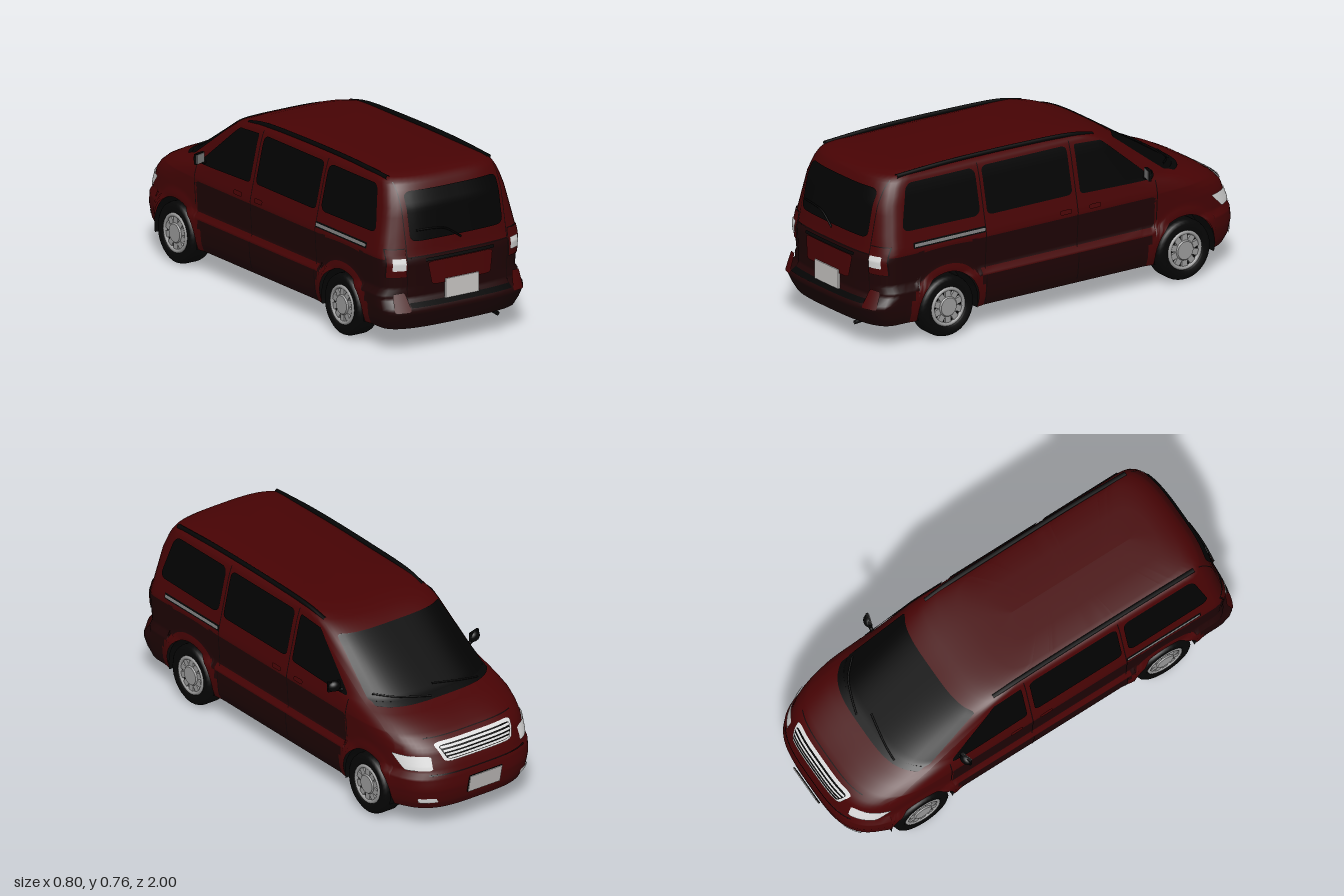
import * as THREE from 'three';

const mat = (name, color, side = THREE.DoubleSide) =>
  Object.assign(new THREE.MeshStandardMaterial({ color, side }), { name });
const M = {
  paint: mat('dark red paint', 0x480304),
  lower: mat('lower body maroon', 0x1f0304),
  glass: mat('dark glass', 0x020202),
  trim: mat('black trim', 0x040404),
  tyre: mat('tyre rubber', 0x050505),
  silver: mat('silver', 0x9c9c9c),
  grey: mat('mid grey', 0x7c7c7c),
  lamp: mat('lamp white', 0xdedede),
  plate: mat('plate grey', 0xcac7c5),
  seam: mat('seam', 0x120203),
};

// Piecewise linear lookup
const table = (pts) => (y) => {
  if (y <= pts[0][0]) return pts[0][1];
  for (let i = 1; i < pts.length; i++) if (y <= pts[i][0]) {
    const [a, p] = pts[i - 1], [b, q] = pts[i];
    return p + (q - p) * (y - a) / (b - a);
  }
  return pts[pts.length - 1][1];
};

// Body rules by height: nose position, tail position, half width and front corner length
const nose = table([[.1, -.945], [.14, -.965], [.2, -.975], [.25, -.968], [.3, -.953], [.36, -.928], [.39, -.9],
  [.42, -.855], [.445, -.803], [.465, -.75], [.48, -.7], [.5, -.655], [.69, -.35], [.72, -.27], [.735, -.21], [.745, -.12], [.75, -.03], [.753, .05]]);
const tail = table([[.1, .957], [.14, .978], [.185, .998], [.2, .99], [.225, .95], [.39, .959], [.42, .95],
  [.62, .92], [.69, .893], [.72, .872], [.735, .85], [.745, .81], [.75, .75], [.753, .65]]);
const width = table([[.1, .336], [.14, .35], [.2, .358], [.25, .36], [.27, .344], [.42, .354], [.445, .349],
  [.5, .337], [.66, .301], [.69, .292], [.71, .285], [.72, .28], [.735, .267], [.745, .23], [.75, .13], [.753, 0]]);
const frontLength = table([[.5, .4], [.69, .16], [.753, .14]]);
const front = (y) => ({ len: frontLength(y), p: 3.5 });
const REAR = { len: .12, p: 3 };
const AXLES = [-.63, .595], HUB_Y = .135, ARCH = .156;

const corner = (d, { len, p }) => d >= len ? 1 : Math.pow(1 - Math.pow(1 - Math.max(d, 0) / len, p), 1 / p);
const depth = (x, w, { len, p }) => len * (1 - Math.pow(1 - Math.pow(Math.min(Math.abs(x) / w, 1), p), 1 / p));
const axleGap = (y, z) => Math.min(...AXLES.map((a) => Math.hypot(z - a, y - HUB_Y)));
const sideX = (y, z) => {
  const flare = Math.max(0, .01 * (1 - (axleGap(y, z) - ARCH) / .045));
  const taper = corner(z - nose(y), front(y)) * corner(tail(y) - z, REAR);
  return (width(y) + (y < .36 ? Math.min(flare, .007) : 0)) * taper;
};
const sill = (z) => {
  for (const a of AXLES) if (Math.abs(z - a) < ARCH) return HUB_Y + Math.sqrt(ARCH ** 2 - (z - a) ** 2);
  return .1;
};
// Darker lower doors, sills and tail; arch lips and the ledge along the doors stay red
const isLower = (y, z) => z > -.475 && y < .407 && axleGap(y, z) > .192 && !(y > .24 && y < .27 && z < .42);

// Places a point on the body skin, from side, front or rear coordinates
const onSide = (s, e = .005) => (z, y) => [s * (sideX(y, z) + e), y, z];
const onNose = (e = .006) => (x, y) => [x, y, nose(y) + depth(x, width(y), front(y)) - e];
const onTail = (e = .005) => (x, y) => [x, y, tail(y) - depth(x, width(y), REAR) + e];

function surface(points, index) {
  const g = new THREE.BufferGeometry();
  g.setAttribute('position', new THREE.Float32BufferAttribute(points.flat(), 3));
  g.setIndex(index);
  g.computeVertexNormals();
  return g;
}

export function createModel() {
  const root = new THREE.Group();
  root.name = 'van';
  const add = (name, geo, material, parent = root, pos = [0, 0, 0]) => {
    const m = new THREE.Mesh(geo, material);
    m.name = name;
    m.position.set(...pos);
    parent.add(m);
    return m;
  };
  // Thin curved panel with rounded corners; corners run bottom, bottom, top, top
  const patch = (name, [a, b, c, d], map, material, r = .1, n = 18) => {
    const pts = [], idx = [];
    for (let j = 0; j <= n; j++) {
      const v = (1 - Math.cos(Math.PI * j / n)) / 2, dv = Math.min(v, 1 - v);
      const inset = dv < r ? (r - Math.sqrt(r * r - (r - dv) ** 2)) * .6 : 0;
      for (let i = 0; i <= n; i++) {
        const u = inset + (1 - 2 * inset) * i / n;
        const mix = (k) => (a[k] * (1 - u) + b[k] * u) * (1 - v) + (d[k] * (1 - u) + c[k] * u) * v;
        pts.push(map(mix(0), mix(1)));
        const o = j * (n + 1) + i;
        if (i < n && j < n) idx.push(o, o + 1, o + n + 1, o + 1, o + n + 2, o + n + 1);
      }
    }
    return add(name, surface(pts, idx), material);
  };
  const rect = (x0, x1, y0, y1) => [[x0, y0], [x1, y0], [x1, y1], [x0, y1]];
  const tube = (name, pts, radius, material) => add(name, new THREE.TubeGeometry(
    new THREE.CatmullRomCurve3(pts.map((p) => new THREE.Vector3(...p))), 24, radius, 8), material);

  // Body shell: plan outlines stacked by height, lower edge lifted over the wheels
  const mid = [];
  for (const a of AXLES) {
    for (const d of [-.215, -.192, -.174, -.1565, .1565, .174, .192, .215]) mid.push(a + d);
    for (let i = 0; i <= 24; i++) mid.push(a - ARCH * .9999 * Math.cos(Math.PI * i / 24));
  }
  for (let z = -.4; z < .36; z += .1) mid.push(z);
  const middle = mid.filter((z) => z > -.8 && z < .815).sort((p, q) => p - q);
  const outline = (y) => {
    const k0 = Math.max(-.8, nose(y) + .12), k1 = Math.min(.82, tail(y) - .12), zs = [];
    for (let i = 0; i < 16; i++) zs.push(nose(y) + (k0 - nose(y)) * (i / 16) ** 3);
    for (const z of middle) zs.push(z < .3 ? .3 + (z - .3) * (.3 - k0) / 1.1 : .3 + (z - .3) * (k1 - .3) / .52);
    for (let i = 12; i >= 0; i--) zs.push(tail(y) - (tail(y) - k1) * (i / 12) ** 3);
    return zs;
  };
  const levels = [.1, .12, .14, .17, .185, .2, .225, .24, .25, .27, .285, .3, .315, .33, .345, .36, .375, .39, .407, .42,
    .445, .465, .48, .5, .54, .58, .62, .66, .69, .71, .72, .735, .745, .75, .753];
  const pts = [], upper = [], lower = [];
  let count = 0;
  levels.forEach((y) => {
    const half = outline(y).map((z) => {
      const b = sill(z), h = y < .42 ? b + (y - .1) * (.42 - b) / .32 : y;
      return [sideX(h, z), h, z];
    });
    const ring = half.concat(half.slice(1, -1).reverse().map(([x, h, z]) => [-x, h, z]));
    count = ring.length;
    pts.push(...ring);
  });
  for (let i = 0; i < levels.length - 1; i++) for (let j = 0; j < count; j++) {
    const a = i * count + j, b = i * count + (j + 1) % count;
    const mean = (k) => (pts[a][k] + pts[b][k] + pts[a + count][k] + pts[b + count][k]) / 4;
    (isLower(mean(1), mean(2)) ? lower : upper).push(a, a + count, b, b, a + count, b + count);
  }
  const shell = surface(pts, upper.concat(lower));
  shell.addGroup(0, upper.length, 0);
  shell.addGroup(upper.length, lower.length, 1);
  add('bodyShell', shell, [M.paint, M.lower]);

  // Underside
  const floorPts = [], floorIdx = [];
  outline(.1).forEach((z, i) => {
    const x = sill(z) > .1 ? .235 : sideX(.1, z);
    floorPts.push([-x, .1, z], [x, .1, z]);
    if (i) floorIdx.push(2 * i - 2, 2 * i - 1, 2 * i, 2 * i - 1, 2 * i + 1, 2 * i);
  });
  add('underside', surface(floorPts, floorIdx), M.trim);
  tube('exhaustPipe', [[.19, .098, .8], [.19, .1, .9], [.19, .094, .965]], .009, M.trim);

  // Wheels and wheel wells
  const tyreProfile = [[.085, .045], [.095, .053], [.118, .055], [.13, .046], [.135, .03], [.135, -.03], [.13, -.046],
    [.118, -.055], [.085, -.05]].map(([r, h]) => new THREE.Vector2(r, -h));
  for (const s of [1, -1]) for (const z of AXLES) {
    const well = new THREE.CylinderGeometry(ARCH, ARCH, .115, 28, 1, true, -.23, Math.PI + .46).rotateZ(Math.PI / 2);
    add('wheelWell', well, M.trim, root, [s * .2925, HUB_Y, z]);
    add('wheelWellWall', new THREE.CircleGeometry(ARCH, 28, -.23, Math.PI + .46).rotateY(Math.PI / 2), M.trim, root, [s * .235, HUB_Y, z]);
    const wheel = new THREE.Group();
    wheel.name = 'wheel';
    wheel.position.set(s * .303, HUB_Y, z);
    wheel.rotation.y = s > 0 ? 0 : Math.PI;
    root.add(wheel);
    add('tyre', new THREE.LatheGeometry(tyreProfile, 36).rotateZ(Math.PI / 2), M.tyre, wheel);
    add('rimBack', new THREE.CylinderGeometry(.086, .086, .07, 30).rotateZ(Math.PI / 2), M.trim, wheel);
    add('rimRing', new THREE.TorusGeometry(.079, .009, 8, 36).rotateY(Math.PI / 2), M.silver, wheel, [.045, 0, 0]);
    add('hubCap', new THREE.CylinderGeometry(.04, .054, .018, 24).rotateZ(-Math.PI / 2), M.silver, wheel, [.045, 0, 0]);
    for (let i = 0; i < 10; i++) {
      const spoke = new THREE.BoxGeometry(.012, .045, .028).translate(.042, .058, 0).rotateX(i * Math.PI / 5);
      add('spoke', spoke, M.silver, wheel);
    }
  }

  // Side glass, seams, mouldings, lamps, mirrors and roof rails
  for (const s of [1, -1]) {
    const side = onSide(s);
    patch('rearSideWindow', [[.42, .505], [.825, .51], [.775, .705], [.42, .705]], side, M.glass, .15);
    patch('middleSideWindow', rect(-.055, .385, .5, .705), side, M.glass, .1);
    patch('frontSideWindow', [[-.48, .485], [-.095, .495], [-.095, .703], [-.235, .695]], side, M.glass, .08);
    for (const [z, y0, y1] of [[.4, .12, .72], [-.075, .12, .72], [-.485, .3, .475]])
      patch('doorSeam', rect(z - .0025, z + .0025, y0, y1), onSide(s, .002), M.seam, .01, 24);
    patch('slidingRail', rect(.4, .775, .43, .456), onSide(s, .003), M.trim, .05);
    patch('sideMoulding', rect(.405, .77, .437, .45), onSide(s, .006), M.grey, .05);
    for (const z of [-.01, -.16]) patch('doorHandle', rect(z - .03, z + .03, .425, .445), onSide(s, .009), M.paint, .3);

    patch('headlight', [[-.932, .285], [-.845, .283], [-.775, .348], [-.91, .345]], onSide(s, .008), M.lamp, .15, 24);
    patch('fogLight', rect(-.945, -.9, .135, .158), onSide(s, .007), M.lamp, .2);
    patch('tailLampSurround', rect(s * .26, s * .34, .327, .453), onTail(.003), M.seam, .05);
    patch('tailLamp', rect(s * .262, s * .338, .33, .45), onTail(.007), M.paint, .05);
    patch('reverseLamp', rect(s * .268, s * .322, .36, .413), onTail(.012), M.lamp, .1);
    patch('bumperCorner', [[s * .26, .185], [s * .33, .18], [s * .325, .26], [s * .275, .265]],
      (x, y) => [x, y, 1 - depth(x, .36, REAR) - (y - .18) * .4], M.paint, .2);
    patch('tailgateSeam', rect(s * .254, s * .258, .2, .72), onTail(.002), M.seam, .01, 24);

    tube('roofRail', [[s * .259, .715, -.215], [s * .262, .735, -.11], [s * .262, .745, .15], [s * .262, .745, .55],
      [s * .26, .733, .8]], .01, M.trim);

    const mirror = new THREE.Group();
    mirror.name = 'doorMirror';
    mirror.position.set(s * .372, .523, -.425);
    mirror.rotation.y = -s * .3;
    root.add(mirror);
    const housing = new THREE.SphereGeometry(1, 16, 10, 0, Math.PI * 2, 0, Math.PI / 2)
      .rotateX(-Math.PI / 2).scale(.029, .025, .022);
    add('mirrorHousing', housing, M.trim, mirror);
    add('mirrorRim', new THREE.BoxGeometry(.056, .046, .012), M.trim, mirror);
    add('mirrorGlass', new THREE.BoxGeometry(.05, .04, .004), M.grey, mirror, [0, 0, .007]);
    tube('mirrorArm', [[s * .325, .497, -.435], [s * .345, .5, -.43], [s * .362, .512, -.43]], .008, M.trim);
  }

  // Windscreen with wipers
  patch('windscreen', [[-.3, .49], [.3, .49], [.268, .69], [-.268, .69]], onNose(.008), M.glass, .05, 24);
  patch('cowl', rect(-.295, .295, .482, .495), onNose(.012), M.trim, .05, 24);
  for (const x of [-.2, .06]) {
    const at = onNose(.016);
    tube('frontWiper', [0, .07, .15, .22].map((d) => at(x + d, .49 + d * .12)), .004, M.trim);
  }

  // Nose: grille and number plate leaning forward at the top
  patch('grilleFrame', [[-.175, .315], [.175, .315], [.205, .392], [-.205, .392]], onNose(.006), M.lamp, .15);
  patch('grilleMesh', [[-.162, .324], [.162, .324], [.19, .382], [-.19, .382]], onNose(.01), M.trim, .15);
  for (let i = 0; i < 4; i++) {
    const y = .329 + i * .014, w = .162 + i * .007;
    patch('grilleSlat', rect(-w, w, y, y + .008), onNose(.015), M.lamp, .05);
  }
  patch('bonnetSeam', rect(-.23, .23, .404, .407), onNose(.005), M.seam, .01);
  patch('bumperGroove', rect(-.25, .25, .262, .268), onNose(.005), M.seam, .05);
  const frontPlate = new THREE.Group();
  frontPlate.name = 'frontPlate';
  frontPlate.position.set(0, .2, -.987);
  frontPlate.rotation.x = -.22;
  root.add(frontPlate);
  add('plateFace', new THREE.BoxGeometry(.168, .082, .003), M.plate, frontPlate, [0, 0, -.002]);
  add('plateBack', new THREE.BoxGeometry(.17, .084, .005), M.trim, frontPlate, [0, 0, .002]);

  // Tail: glass, wiper, plate panel and number plate
  patch('rearWindow', rect(-.237, .237, .478, .687), onTail(.006), M.glass, .12, 22);
  const rear = onTail(.012);
  tube('rearWiper', [rear(.008, .467), rear(-.07, .515), rear(-.13, .524), rear(-.21, .525)], .004, M.trim);
  patch('tailgateCrease', rect(-.255, .255, .408, .414), onTail(.003), M.seam, .05);
  patch('plateRecess', rect(-.175, .175, .388, .402), onTail(.006), M.trim, .1);
  patch('platePanel', [[-.15, .285], [.15, .285], [.167, .386], [-.167, .386]],
    (x, y) => [x, y, onTail()(x, y)[2] + (.39 - y) * .13], M.paint, .12);
  add('rearPlate', new THREE.BoxGeometry(.17, .085, .01), M.plate, root, [0, .258, .971]);
  patch('bumperGap', rect(-.255, .255, .2, .216), onTail(.004), M.trim, .05);
  return root;
}
